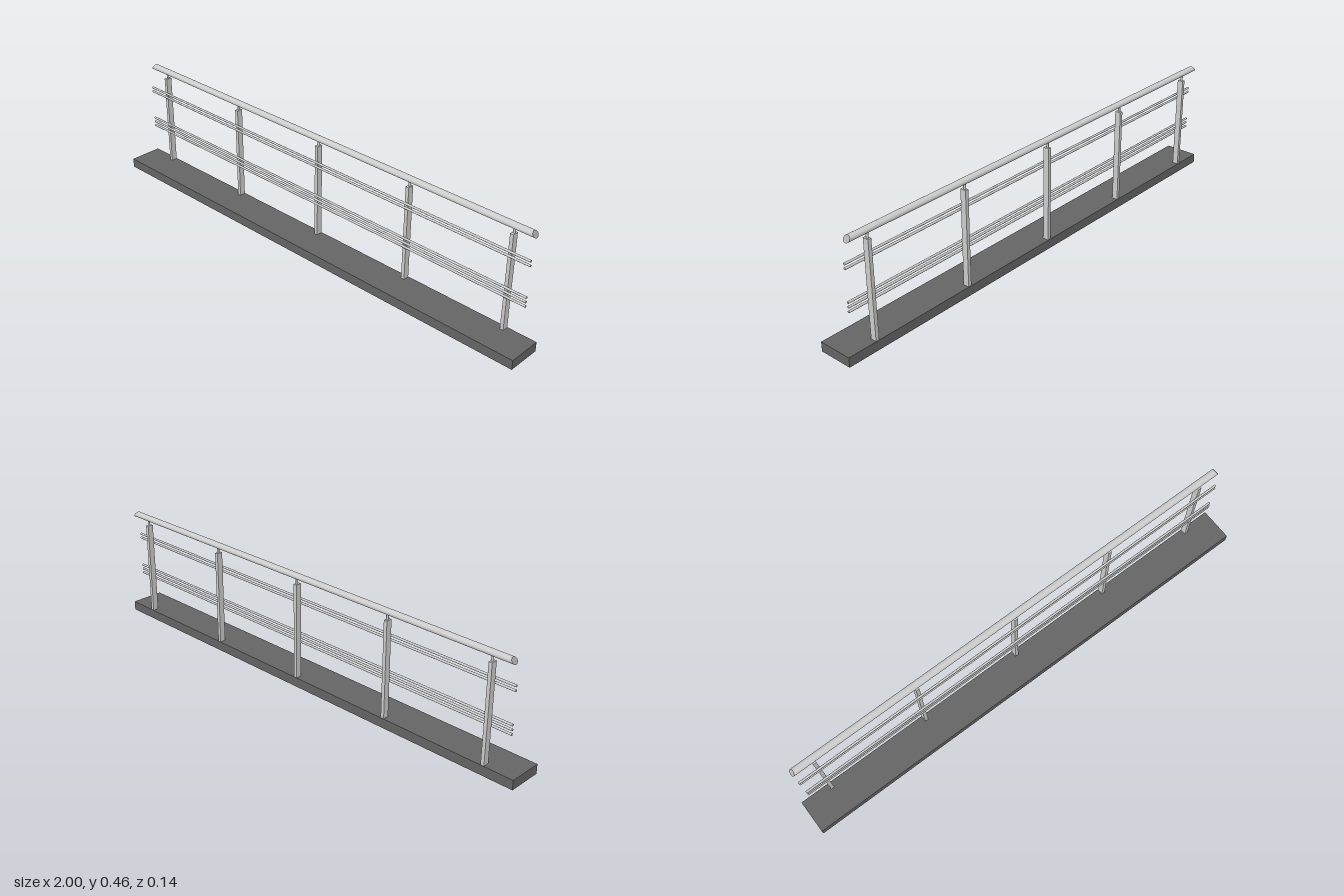
import * as THREE from 'three';

export function createModel() {
  const model = new THREE.Group();
  const metal = new THREE.MeshStandardMaterial({ color: 0xcccccc });
  const stone = new THREE.MeshStandardMaterial({ color: 0x646464 });

  const add = (name, geometry, material, x, y, z) => {
    const mesh = new THREE.Mesh(geometry, material);
    mesh.name = name;
    mesh.position.set(x, y, z);
    model.add(mesh);
    return mesh;
  };

  // Floor slab
  add('base', new THREE.BoxGeometry(2, 0.038, 0.137), stone, 0, 0.019, 0);

  // Flat posts, each with a slim pin that carries the handrail
  const postGeometry = new THREE.BoxGeometry(0.014, 0.384, 0.024);
  const pinGeometry = new THREE.CylinderGeometry(0.0045, 0.0045, 0.03, 16);
  for (let i = -2; i <= 2; i++) {
    const x = i * 0.4375;
    add('post', postGeometry, metal, x, 0.229, -0.055);
    add('handrailPin', pinGeometry, metal, x, 0.43, -0.0565);
  }

  // Thin round rails along the front of the posts
  const railGeometry = new THREE.CylinderGeometry(0.0045, 0.0045, 1.92, 16);
  railGeometry.rotateZ(Math.PI / 2);
  for (const y of [0.18, 0.1975, 0.215, 0.34, 0.3575]) {
    add('rail', railGeometry, metal, 0, y, -0.038);
  }

  // Oval handrail, its ends cut at a slant so the underside is longer
  const handrail = new THREE.CylinderGeometry(1, 1, 1.91, 32);
  handrail.rotateZ(Math.PI / 2);
  handrail.scale(1, 0.0115, 0.0145);
  const p = handrail.attributes.position;
  for (let i = 0; i < p.count; i++) {
    p.setX(i, p.getX(i) - Math.sign(p.getX(i)) * p.getY(i) * 0.6);
  }
  handrail.computeBoundingSphere();
  add('handrail', handrail, metal, 0, 0.451, -0.054);

  return model;
}
